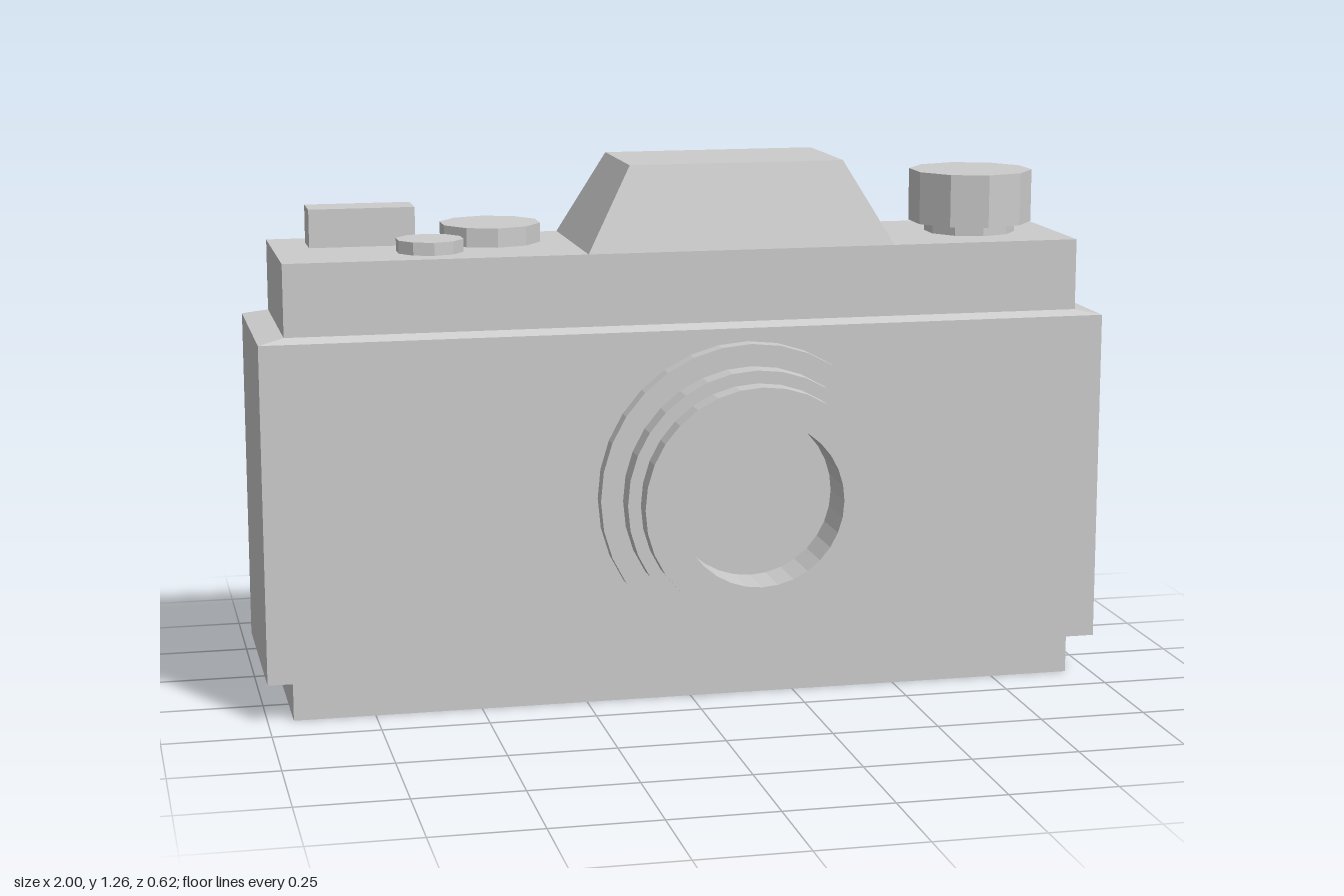
import * as THREE from 'three';

const material = new THREE.MeshStandardMaterial({ color: 0xcccccc, flatShading: true });

function add(group, name, geometry, x = 0, y = 0, z = 0) {
  const mesh = new THREE.Mesh(geometry, material);
  mesh.name = name;
  mesh.position.set(x, y, z);
  group.add(mesh);
  return mesh;
}

// Box given by its limits on each axis
function box(group, name, [x0, x1], [y0, y1], [z0, z1]) {
  return add(group, name, new THREE.BoxGeometry(x1 - x0, y1 - y0, z1 - z0),
    (x0 + x1) / 2, (y0 + y1) / 2, (z0 + z1) / 2);
}

// Box whose top face is replaced by a smaller rectangle
function taperedBox(group, name, xs, ys, zs, topXs, topZs) {
  const mesh = box(group, name, xs, ys, zs);
  const p = mesh.geometry.attributes.position;
  const { x, z } = mesh.position;
  for (let i = 0; i < p.count; i++) {
    if (p.getY(i) < 0) continue;
    p.setX(i, topXs[p.getX(i) > 0 ? 1 : 0] - x);
    p.setZ(i, topZs[p.getZ(i) > 0 ? 1 : 0] - z);
  }
  mesh.geometry.computeVertexNormals();
  return mesh;
}

// Ten-sided dial standing on height y0
function dial(group, name, r, y0, y1, x, z) {
  return add(group, name, new THREE.CylinderGeometry(r, r, y1 - y0, 10), x, (y0 + y1) / 2, z);
}

export function createModel() {
  const model = new THREE.Group();
  model.name = 'camera';
  const plateX = [-0.94, 0.94], plateZ = [-0.28, 0.135], deck = 1.065;
  const bodyX = [-1, 1], bodyZ = [-0.31, 0.16];

  // Body with inset base and sloping shoulder
  box(model, 'basePlate', plateX, [0, 0.095], plateZ);
  box(model, 'body', bodyX, [0.095, 0.885], bodyZ);
  taperedBox(model, 'shoulder', bodyX, [0.885, 0.897], bodyZ, plateX, plateZ);

  // Top plate outline, notched at the back for the eyepiece (shape y is -z)
  const outline = [
    [-0.94, -0.135], [0.94, -0.135], [0.94, 0.28], [0.24, 0.28],
    [0.24, 0.24], [-0.015, 0.24], [-0.015, 0.28], [-0.94, 0.28],
  ].map(([x, y]) => new THREE.Vector2(x, y));
  const plate = new THREE.ExtrudeGeometry(new THREE.Shape(outline),
    { depth: deck - 0.897, bevelEnabled: false });
  add(model, 'topPlate', plate.rotateX(-Math.PI / 2), 0, 0.897, 0);

  // Prism housing
  taperedBox(model, 'prismHousing', [-0.24, 0.49], [deck, 1.26], plateZ, [-0.13, 0.38], [-0.22, 0.07]);

  // Stepped lens barrel with a recessed front
  const profile = [
    [0.357, 0], [0.357, 0.04], [0.305, 0.04], [0.305, 0.097], [0.275, 0.097],
    [0.275, 0.15], [0.195, 0.15], [0.195, 0.03], [0, 0.03],
  ].map(([r, h]) => new THREE.Vector2(r, h));
  add(model, 'lens', new THREE.LatheGeometry(profile, 32).rotateX(Math.PI / 2), 0.13, 0.497, 0.16);

  // Controls on the top plate
  dial(model, 'rewindStem', 0.109, deck, 1.09, 0.74, -0.0725);
  dial(model, 'rewindKnob', 0.1475, 1.09, 1.215, 0.74, -0.0725);
  dial(model, 'speedDial', 0.12, deck, 1.11, -0.425, -0.14);
  dial(model, 'shutterButton', 0.079, deck, 1.095, -0.588, 0.002);
  box(model, 'windLever', [-0.855, -0.607], [deck, 1.155], [-0.205, -0.107]);

  return model;
}
